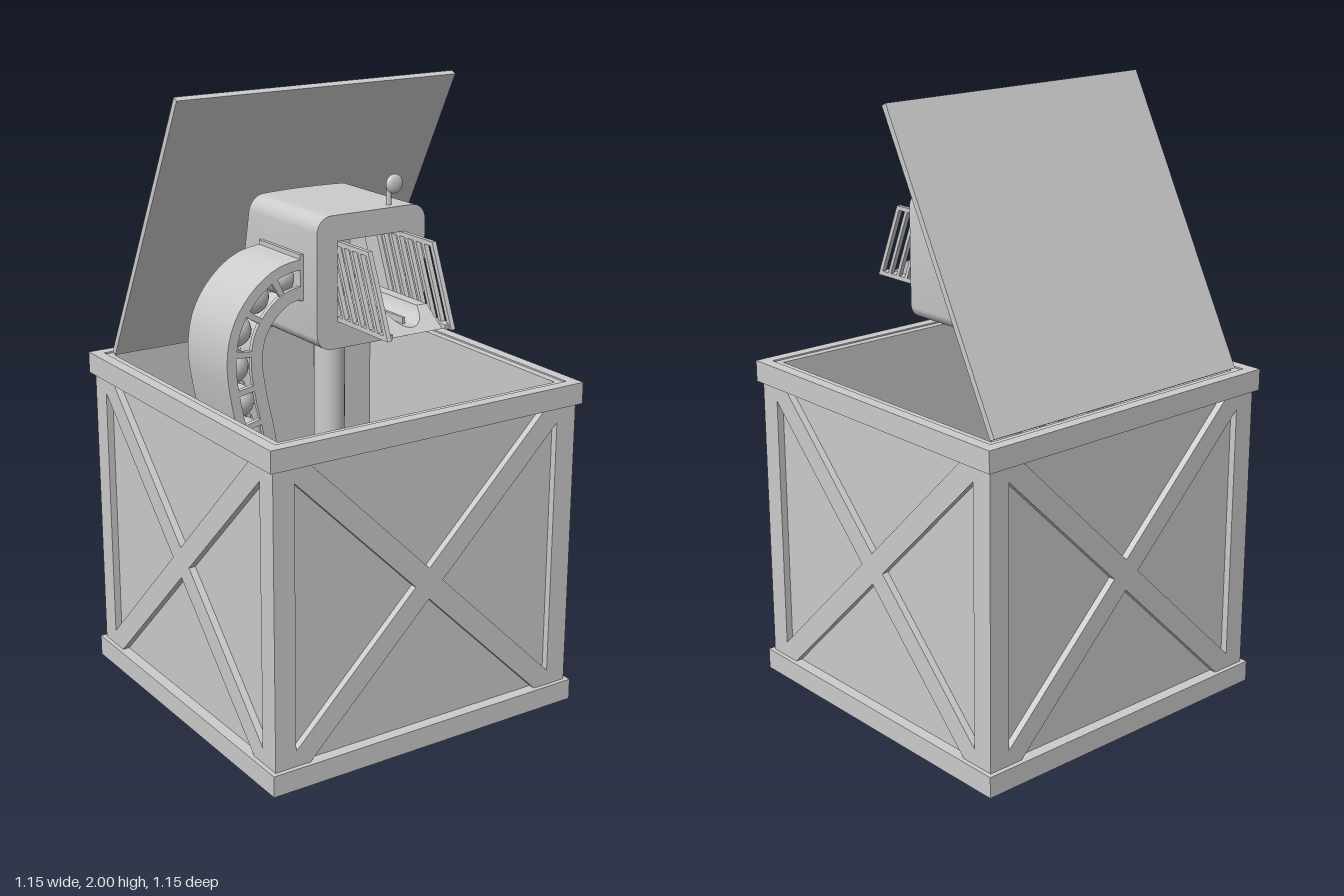
import * as THREE from 'three';
import { toCreasedNormals } from 'three/addons/utils/BufferGeometryUtils.js';

const material = new THREE.MeshStandardMaterial({ color: 0xcccccc, side: THREE.DoubleSide });

function add(parent, name, geometry, x = 0, y = 0, z = 0) {
  const mesh = new THREE.Mesh(geometry, material);
  mesh.name = name;
  mesh.position.set(x, y, z);
  parent.add(mesh);
  return mesh;
}
const box = (w, h, d) => new THREE.BoxGeometry(w, h, d);
const polygon = (pts) => pts.map(([x, y]) => new THREE.Vector2(x, y));

// Extrudes an outline from z0 to z1, with optional holes
function extrude(outline, z0, z1, holes = []) {
  const shape = new THREE.Shape(outline);
  shape.holes = holes.map((h) => new THREE.Path(h));
  return new THREE.ExtrudeGeometry(shape, { depth: z1 - z0, bevelEnabled: false, curveSegments: 8 })
    .translate(0, 0, z0);
}

// Moves the z of vertices by a rule
function bendZ(geometry, rule) {
  const p = geometry.attributes.position;
  for (let i = 0; i < p.count; i++) p.setZ(i, rule(p.getX(i), p.getY(i), p.getZ(i)));
  return geometry;
}

function buildCrate() {
  const crate = new THREE.Group();
  crate.name = 'crate';
  const sq = (r) => polygon([[-r, -r], [r, -r], [r, r], [-r, r]]);
  const ring = (outer, inner, y0, y1) =>
    extrude(sq(outer), y0, y1, [sq(inner)]).rotateX(-Math.PI / 2);
  add(crate, 'topRim', ring(0.573, 0.535, 1.03, 1.1));
  add(crate, 'bottomRim', ring(0.573, 0.535, 0, 0.07));
  add(crate, 'walls', ring(0.535, 0.51, 0, 1.095));
  add(crate, 'floor', box(1.07, 0.03, 1.07), 0, 0.017, 0);

  // Side frame: posts and a cross brace left by four triangular holes
  const outline = polygon([[-0.558, 0.06], [0.558, 0.06], [0.558, 1.04], [-0.558, 1.04]]);
  const a = 0.485, b = 0.434, lo = 0.07, hi = 1.03, mid = 0.55, g = 0.051;
  const holes = [
    [[-b, hi], [b, hi], [0, mid + g]],
    [[-b, lo], [b, lo], [0, mid - g]],
    [[-a, hi - g], [-a, lo + g], [-g, mid]],
    [[a, hi - g], [a, lo + g], [g, mid]],
  ].map(polygon);
  for (let i = 0; i < 4; i++) {
    const frame = add(crate, 'crossBracedFrame', extrude(outline, 0.533, 0.558, holes));
    frame.rotation.y = i * Math.PI / 2;
  }
  return crate;
}

function buildHead() {
  const head = new THREE.Group();
  head.name = 'launcherHead';
  // Rounded square housing, open at the front, with a leaning, bulged back
  const outline = [], r = 0.05, cy = 1.4475, hx = 0.198, hy = 0.2075;
  const corners = [[1, -1, -90], [1, 1, 0], [-1, 1, 90], [-1, -1, 180]];
  for (const [sx, sy, start] of corners) {
    for (let i = 0; i <= 8; i++) {
      const t = (start + i * 11.25) * Math.PI / 180;
      outline.push(new THREE.Vector2(
        sx * (hx - r) + r * Math.cos(t), cy + sy * (hy - r) + r * Math.sin(t)));
    }
    const last = outline[outline.length - 1];
    const next = new THREE.Vector2(-sy * (hx - r), cy + sx * (hy - r))
      .add(new THREE.Vector2(0, 0));
    // Extra points along the top edge carry the bulge
    if (sx === 1 && sy === 1) {
      for (let i = 1; i < 10; i++) outline.push(new THREE.Vector2(last.x + (next.x - last.x) * i / 10, last.y));
    }
  }
  const opening = polygon([[-0.125, 1.325], [0.125, 1.325], [0.125, 1.575], [-0.125, 1.575]]);
  add(head, 'housingFront', toCreasedNormals(extrude(outline, -0.07, 0.235, [opening]), 0.5));
  const back = bendZ(extrude(outline, -0.2, -0.07), (x, y, z) => {
    if (z > -0.1) return z;
    const t = (y - 1.24) / 0.415;
    return -0.233 + 0.09 * t * (0.6 + 0.4 * t) - 0.025 * t * (1 - (x / 0.2) ** 2);
  });
  add(head, 'housingBack', toCreasedNormals(back, 0.5));

  // Trough floor with a half-round channel and a sloped nose
  const section = polygon([[-0.095, 1.325], [0.095, 1.325], [0.095, 1.385]]);
  for (let i = 0; i <= 16; i++) {
    const t = -0.25 - (Math.PI - 0.5) * i / 16;
    section.push(new THREE.Vector2(0.06 * Math.cos(t), 1.4 + 0.06 * Math.sin(t)));
  }
  section.push(new THREE.Vector2(-0.095, 1.385));
  const trough = bendZ(extrude(section, -0.06, 0.47),
    (x, y, z) => (z > 0 ? z - (y - 1.325) * 1.33 : z));
  add(head, 'trough', toCreasedNormals(trough, 0.5));
  add(head, 'guideRod', box(0.01, 0.02, 0.46), 0, 1.35, 0.175);

  // Slatted side guards with slanted slots
  const lean = 0.42;
  const bar = (z, w, y0, y1) => polygon([
    [z - lean * (y0 - 1.325), y0], [z + w - lean * (y0 - 1.325), y0],
    [z + w - lean * (y1 - 1.325), y1], [z - lean * (y1 - 1.325), y1]]);
  const slots = [];
  for (let i = 0; i < 7; i++) slots.push(bar(0.453 - i * 0.043, 0.029, 1.34, 1.56));
  const guard = extrude(bar(0.12, 0.378, 1.325, 1.574), -0.0075, 0.0075, slots)
    .rotateY(-Math.PI / 2);
  for (const s of [-1, 1]) {
    add(head, 'slattedGuard', guard, s * 0.116, 0, 0);
    add(head, 'guardSill', box(0.02, 0.014, 0.25), s * 0.105, 1.333, 0.36);
  }

  // Sight: bent stem and flattened knob
  const stem = new THREE.CatmullRomCurve3([[1.65, 0.197], [1.7, 0.197], [1.72, 0.203], [1.726, 0.225]]
    .map(([y, z]) => new THREE.Vector3(0.088, y, z)));
  add(head, 'sightStem', new THREE.TubeGeometry(stem, 16, 0.008, 10));
  add(head, 'sightKnob', new THREE.SphereGeometry(0.03, 20, 14), 0.088, 1.724, 0.225).scale.z = 0.45;
  return head;
}

function buildFeed() {
  const feed = new THREE.Group();
  feed.name = 'ballFeed';
  const path = new THREE.CatmullRomCurve3([
    [-0.19, 1.455], [-0.27, 1.44], [-0.345, 1.385], [-0.393, 1.31], [-0.408, 1.22],
    [-0.395, 1.11], [-0.365, 0.97], [-0.345, 0.8], [-0.34, 0.6], [-0.34, 0.4],
  ].map(([x, y]) => new THREE.Vector3(x, y, 0)));
  const N = 48;
  // Point on the path, shifted sideways; positive is the outer side
  const at = (t, offset) => {
    const p = path.getPointAt(t), d = path.getTangentAt(t);
    return new THREE.Vector2(p.x + d.y * offset, p.y - d.x * offset);
  };
  const strip = (name, o0, o1, z0, z1, t0 = 0, t1 = 1) => {
    const inner = [], outer = [];
    for (let i = 0; i <= N; i++) {
      const t = t0 + (t1 - t0) * i / N;
      inner.push(at(t, o0));
      outer.push(at(t, o1));
    }
    add(feed, name, toCreasedNormals(extrude(inner.concat(outer.reverse()), z0, z1), 0.5));
  };
  // Offsets are negative towards the outside of the bend
  const out = -0.062, inn = 0.062;
  strip('innerWall', inn - 0.012, inn, -0.08, 0.16);
  strip('backPlate', out, inn, -0.08, -0.06);
  strip('outerRailBack', out, out + 0.015, -0.08, 0.02);
  strip('outerRailFront', out, out + 0.015, 0.055, 0.115);
  strip('frontOuterRim', out, -0.022, 0.145, 0.16);
  strip('frontInnerRim', 0.03, inn, 0.145, 0.16);
  // Cross bars and the balls queued between them
  const step = 0.115 / path.getLength();
  const ball = new THREE.SphereGeometry(0.054, 24, 16);
  for (let i = 0; i < 9; i++) {
    const t = 0.035 + i * step;
    const p = at(t, 0);
    add(feed, 'queuedBall', ball, p.x, p.y, 0.073);
    const c = t + step / 2;
    strip('frontBar', -0.022, 0.03, 0.145, 0.16, c - 0.008, c + 0.008);
    strip('outerBar', out, out + 0.015, 0.02, 0.055, c - 0.014, c + 0.014);
  }
  add(feed, 'feedPort', box(0.02, 0.145, 0.24), -0.2, 1.457, 0.04);
  add(feed, 'enteringBall', ball, -0.118, 1.455, 0.073);
  add(feed, 'loadedBall', ball, 0, 1.4, 0.05);
  return feed;
}

export function createModel() {
  const model = new THREE.Group();
  model.name = 'crateBallLauncher';
  model.add(buildCrate(), buildHead(), buildFeed());
  // Opened lid leaning over the back
  const lid = add(model, 'lid', box(1.02, 1.01, 0.02), 0, 1.548, -0.28);
  lid.rotation.x = Math.atan2(0.47, 0.9);
  // Support post
  add(model, 'supportPost', new THREE.CylinderGeometry(0.05, 0.05, 1.22, 32), 0, 0.635, 0);
  return model;
}
